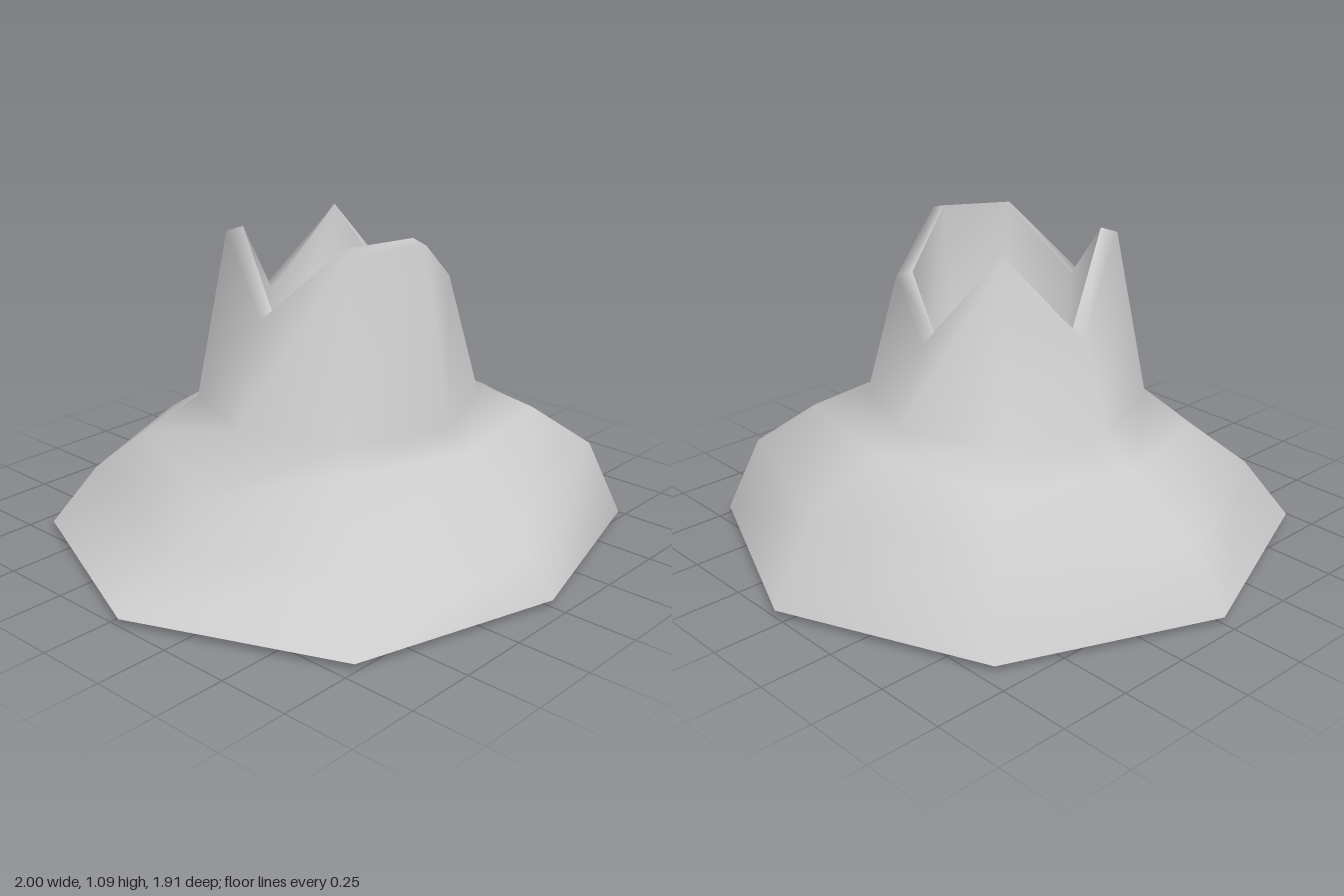
import * as THREE from 'three';

const SIDES = 8;
const CENTRE_Z = 0.04;

// Each ring lists radius and height for eight columns, starting at +x and turning towards +z.
// A single number means the same value in every column.
const at = (v, k) => (Array.isArray(v) ? v[k % SIDES] : v);

const rimHeight = [0.77, 0.92, 1.09, 1.08, 0.85, 1.08, 0.80, 1.08];
const base = { r: [1, 1, 0.91, 1, 1, 1, 1, 1], y: 0.025 };
const lowerSlope = {
  r: [0.84, 0.88, 0.80, 0.75, 0.77, 0.84, 0.87, 0.84],
  y: [0.30, 0.29, 0.15, 0.18, 0.16, 0.23, 0.22, 0.31],
};
const upperSlope = {
  r: [0.58, 0.67, 0.55, 0.55, 0.65, 0.65, 0.60, 0.68],
  y: [0.43, 0.43, 0.42, 0.42, 0.31, 0.37, 0.39, 0.42],
};
const shoulder = { r: 0.48, y: 0.49 };
const outerRim = { r: 0.37, y: rimHeight.map((h) => h - 0.015) };
const innerRim = { r: 0.315, y: rimHeight };

// Joins successive rings into one smooth surface.
function loft(rings) {
  const positions = [];
  const index = [];
  rings.forEach(({ r, y }) => {
    for (let k = 0; k < SIDES; k++) {
      const a = (k / SIDES) * Math.PI * 2;
      positions.push(at(r, k) * Math.cos(a), at(y, k), CENTRE_Z + at(r, k) * Math.sin(a));
    }
  });
  for (let i = 0; i < rings.length - 1; i++) {
    for (let k = 0; k < SIDES; k++) {
      const n = (k + 1) % SIDES;
      const a = i * SIDES + k, b = i * SIDES + n;
      const c = a + SIDES, d = b + SIDES;
      index.push(a, c, b, b, c, d);
    }
  }
  const geometry = new THREE.BufferGeometry();
  geometry.setAttribute('position', new THREE.Float32BufferAttribute(positions, 3));
  geometry.setIndex(index);
  geometry.computeVertexNormals();
  return geometry;
}

export function createModel() {
  const group = new THREE.Group();
  group.name = 'volcano';
  const material = new THREE.MeshStandardMaterial({ color: 0xcccccc });

  const add = (name, rings) => {
    const mesh = new THREE.Mesh(loft(rings), material);
    mesh.name = name;
    group.add(mesh);
  };

  // Rugged flanks up to the jagged rim
  add('slopes', [base, lowerSlope, upperSlope, shoulder, outerRim, innerRim]);
  // Hollow inside the rim, closed by a shallow floor
  add('crater', [innerRim, { r: 0.28, y: 0.52 }, { r: 0.001, y: 0.5 }]);
  // Slightly bulging bottom
  add('underside', [{ r: 0.001, y: 0 }, { r: 0.4, y: 0 }, base]);

  return group;
}
